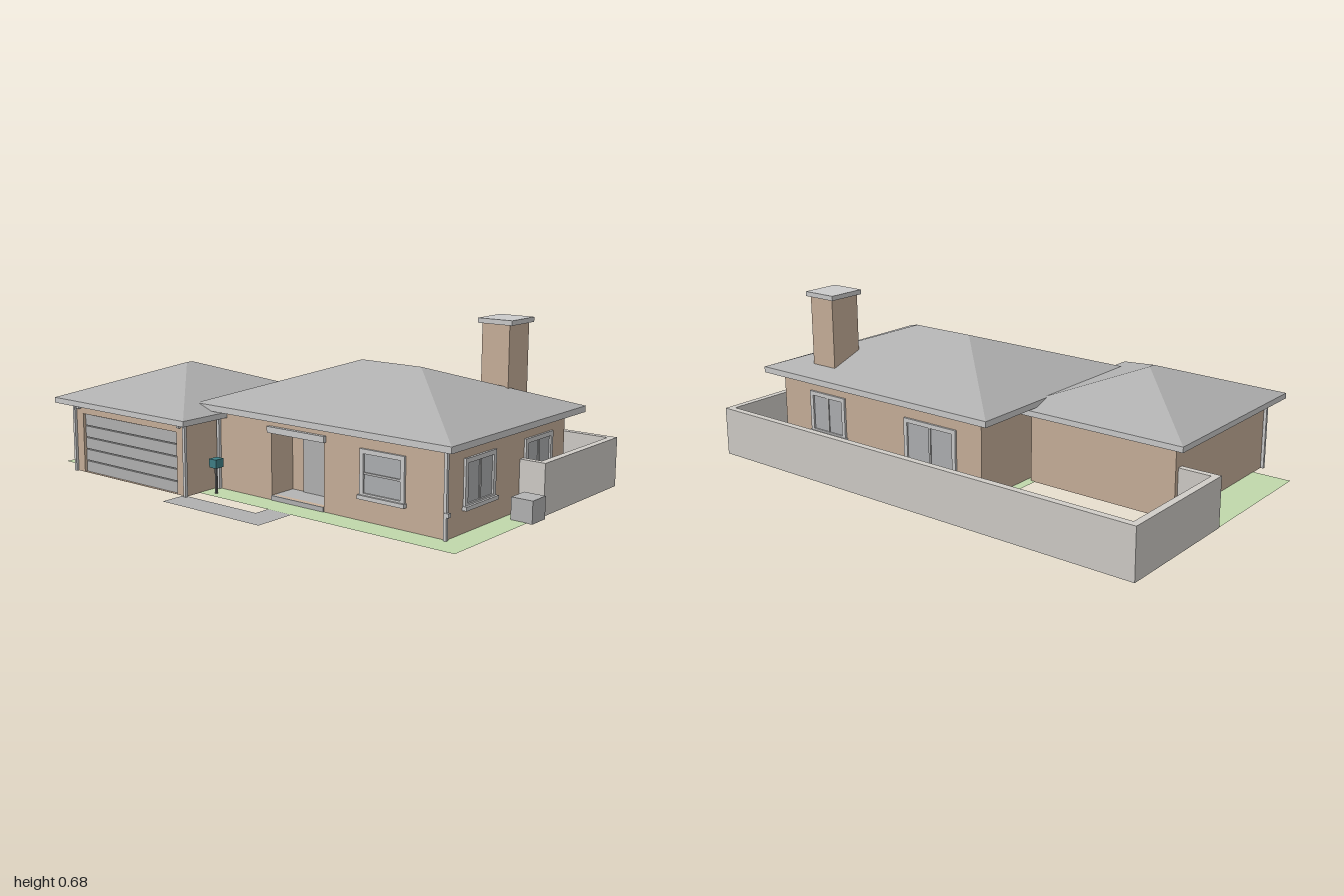
import * as THREE from 'three';

const mat = (color, opts = {}) => new THREE.MeshStandardMaterial({ color, ...opts });
const DS = { side: THREE.DoubleSide };
const brick = mat(0xc8b09a, DS);
const roofGrey = mat(0xb0b0b0, { side: THREE.DoubleSide, flatShading: true });
const trim = mat(0xdcdcd8);
const stone = mat(0xd0cdc8);
const grey = mat(0xb3b3b3);
const glass = mat(0xaeb0b2);
const grass = mat(0xc0d8ab, DS);
const paving = mat(0xb0b0b0, DS);
const teal = mat(0x3f7f86);

// Box given by its limits on each axis
function box(parent, name, m, x0, x1, y0, y1, z0, z1) {
  const mesh = new THREE.Mesh(new THREE.BoxGeometry(x1 - x0, y1 - y0, z1 - z0), m);
  mesh.position.set((x0 + x1) / 2, (y0 + y1) / 2, (z0 + z1) / 2);
  mesh.name = name;
  parent.add(mesh);
  return mesh;
}

// Rectangle path, for wall outlines and openings
function rect(Type, x0, x1, y0, y1) {
  return new Type([[x0, y0], [x1, y0], [x1, y1], [x0, y1]].map(p => new THREE.Vector2(...p)));
}

// Upright wall panel facing +z, with rectangular openings
function panel(parent, name, x0, x1, h, zFront, t, openings) {
  const s = rect(THREE.Shape, x0, x1, 0, h);
  s.holes = openings.map(o => rect(THREE.Path, ...o));
  const mesh = new THREE.Mesh(new THREE.ExtrudeGeometry(s, { depth: t, bevelEnabled: false }), brick);
  mesh.position.z = zFront - t;
  mesh.name = name;
  parent.add(mesh);
}

// Flat ground area from [x, z] corners
function flat(parent, name, m, pts, y) {
  const s = new THREE.Shape(pts.map(([x, z]) => new THREE.Vector2(x, -z)));
  const mesh = new THREE.Mesh(new THREE.ShapeGeometry(s).rotateX(-Math.PI / 2), m);
  mesh.position.y = y;
  mesh.name = name;
  parent.add(mesh);
}

// Hip roof over a rectangle of eaves, rising to a ridge, edged with a fascia
function hipRoof(parent, name, [x0, x1, z0, z1], [rx0, rx1, rz0, rz1], yEave, yRidge, yDrop) {
  const eave = [[x0, z1], [x1, z1], [x1, z0], [x0, z0]].map(([x, z]) => [x, yEave, z]);
  const ridge = [[rx0, rz1], [rx1, rz1], [rx1, rz0], [rx0, rz0]].map(([x, z]) => [x, yRidge, z]);
  const same = (a, b) => a[0] === b[0] && a[2] === b[2];
  const pos = [];
  for (let i = 0; i < 4; i++) {
    const j = (i + 1) % 4;
    pos.push(...eave[i], ...eave[j], ...ridge[j]);
    if (!same(ridge[i], ridge[j])) pos.push(...eave[i], ...ridge[j], ...ridge[i]);
  }
  const geo = new THREE.BufferGeometry();
  geo.setAttribute('position', new THREE.Float32BufferAttribute(pos, 3));
  geo.computeVertexNormals();
  const g = new THREE.Group();
  g.name = name;
  const slopes = new THREE.Mesh(geo, roofGrey);
  slopes.name = name + 'Slopes';
  g.add(slopes);
  const t = 0.012;
  box(g, 'fascia', trim, x0, x1, yDrop, yEave, z1 - t, z1);
  box(g, 'fascia', trim, x0, x1, yDrop, yEave, z0, z0 + t);
  box(g, 'fascia', trim, x0, x0 + t, yDrop, yEave, z0 + t, z1 - t);
  box(g, 'fascia', trim, x1 - t, x1, yDrop, yEave, z0 + t, z1 - t);
  parent.add(g);
}

// Framed window facing +z, centred on its own x; split 'v' or 'h'
function makeWindow(parent, name, w, y0, y1, split, x, z, turn, sill = true) {
  const g = new THREE.Group();
  g.name = name;
  const a = w / 2, f = 0.017, yc = (y0 + y1) / 2;
  box(g, 'glass', glass, -a + f, a - f, y0 + f, y1 - f, -0.006, 0.002);
  for (const s of [-1, 1]) {
    const m = s * (a - f / 2);
    box(g, 'frameSide', trim, m - f / 2, m + f / 2, y0, y1, -0.005, 0.009);
  }
  box(g, 'frameTop', trim, -a, a, y1 - f, y1, -0.005, 0.009);
  box(g, 'frameBottom', trim, -a, a, y0, y0 + f, -0.005, 0.009);
  if (sill) box(g, 'sill', trim, -a - 0.005, a + 0.005, y0 - 0.005, y0 + 0.01, -0.005, 0.018);
  if (split === 'v') box(g, 'mullion', grey, -0.005, 0.005, y0 + f, y1 - f, 0, 0.006);
  else box(g, 'mullion', grey, -a + f, a - f, yc - 0.004, yc + 0.004, 0, 0.006);
  g.position.set(x, 0, z);
  g.rotation.y = turn;
  parent.add(g);
}

export function createModel() {
  const model = new THREE.Group();
  model.name = 'house';

  // Ground: lawn wrapped around the garage, and the front path
  flat(model, 'lawn', grass, [[-1, 0.475], [-1, -0.65], [0.98, -0.65], [0.98, 0.475],
    [-0.22, 0.475], [-0.22, -0.43], [-0.82, -0.43], [-0.82, 0.475]], 0.002);
  flat(model, 'path', paving, [[-0.22, 0.535], [0.155, 0.535], [0.155, 0.37], [0.27, 0.37],
    [0.27, 0.645], [-0.22, 0.645]], 0);

  // Garden wall
  const garden = new THREE.Group();
  garden.name = 'gardenWall';
  model.add(garden);
  const H = 0.197, T = 0.028;
  box(garden, 'backWall', stone, -1, 0.98, 0, H, -0.655, -0.655 + T);
  box(garden, 'rightWall', stone, -1, -1 + T, 0, H, -0.655 + T, -0.097);
  box(garden, 'leftWall', stone, 0.98 - T, 0.98, 0, H, -0.655 + T, -0.097);
  box(garden, 'rightReturn', stone, -1 + T, -0.84, 0, H, -0.122, -0.097);
  box(garden, 'leftReturn', stone, 0.875, 0.98 - T, 0, H, -0.122, -0.097);

  // Main house walls, with the porch opening in front
  const main = new THREE.Group();
  main.name = 'mainHouse';
  model.add(main);
  const h = 0.36, t = 0.02;
  panel(main, 'frontWall', -0.18, 0.875, h, 0.37, t, [[0.085, 0.34, 0.02, 0.268]]);
  box(main, 'backWall', brick, -0.18, 0.875, 0, h, -0.42, -0.42 + t);
  box(main, 'leftWall', brick, 0.875 - t, 0.875, 0, h, -0.42 + t, 0.37 - t);
  box(main, 'rightWall', brick, -0.18, -0.18 + t, 0, h, -0.42 + t, 0.37 - t);
  hipRoof(main, 'mainRoof', [-0.25, 0.93, -0.48, 0.43], [0.2, 0.48, -0.03, -0.03], 0.343, 0.502, 0.319);

  // Recessed porch and front door
  const porch = new THREE.Group();
  porch.name = 'porch';
  main.add(porch);
  box(porch, 'porchFloor', grey, 0.085, 0.34, 0, 0.02, 0.25, 0.374);
  box(porch, 'porchBack', brick, 0.075, 0.35, 0, 0.28, 0.24, 0.25);
  box(porch, 'porchSide', brick, 0.075, 0.085, 0, 0.28, 0.25, 0.35);
  box(porch, 'porchSide', brick, 0.34, 0.35, 0, 0.28, 0.25, 0.35);
  box(porch, 'porchCeiling', brick, 0.085, 0.34, 0.268, 0.28, 0.25, 0.35);
  box(porch, 'frontDoor', grey, 0.145, 0.275, 0.02, 0.24, 0.25, 0.258);
  box(porch, 'doorHandle', trim, 0.258, 0.266, 0.115, 0.13, 0.258, 0.268);
  box(porch, 'porchLight', trim, 0.298, 0.31, 0.2, 0.23, 0.25, 0.262);
  box(porch, 'lintel', trim, 0.075, 0.35, 0.263, 0.287, 0.36, 0.385);

  // Windows and the back sliding door
  makeWindow(main, 'frontWindow', 0.195, 0.09, 0.267, 'h', 0.607, 0.37, 0);
  makeWindow(main, 'sideWindow', 0.195, 0.09, 0.267, 'v', 0.875, 0.173, Math.PI / 2);
  makeWindow(main, 'sideWindow', 0.195, 0.09, 0.267, 'v', 0.875, -0.223, Math.PI / 2);
  makeWindow(main, 'backWindow', 0.195, 0.09, 0.267, 'v', 0.62, -0.42, Math.PI);
  makeWindow(main, 'backSlidingDoor', 0.26, 0.005, 0.255, 'v', 0.07, -0.42, Math.PI, false);

  // Chimney
  box(main, 'chimney', brick, 0.602, 0.722, 0.3, 0.66, -0.395, -0.255);
  box(main, 'chimneyCap', trim, 0.587, 0.737, 0.656, 0.675, -0.407, -0.246);

  // Garage
  const garage = new THREE.Group();
  garage.name = 'garage';
  model.add(garage);
  const gh = 0.326;
  panel(garage, 'garageFront', -0.84, -0.2, gh, 0.54, t, [[-0.8, -0.25, 0.001, 0.245]]);
  box(garage, 'garageBack', brick, -0.84, -0.2, 0, gh, -0.14, -0.14 + t);
  box(garage, 'garageRight', brick, -0.84, -0.84 + t, 0, gh, -0.14 + t, 0.54 - t);
  box(garage, 'garageLeft', brick, -0.2 - t, -0.2, 0, gh, -0.14 + t, 0.54 - t);
  hipRoof(garage, 'garageRoof', [-0.9, -0.145, -0.2, 0.603], [-0.523, -0.523, 0.185, 0.215], 0.31, 0.447, 0.288);
  for (let i = 0; i < 5; i++) {
    box(garage, 'doorPanel', grey, -0.8, -0.25, i * 0.049, i * 0.049 + 0.045, 0.515, 0.528);
  }
  box(garage, 'doorBacking', grey, -0.8, -0.25, 0, 0.245, 0.51, 0.52);
  for (const x of [-0.82, -0.23]) box(garage, 'garageLight', trim, x - 0.008, x + 0.008, 0.265, 0.285, 0.54, 0.553);

  // Downpipes
  for (const [x, z, y] of [[-0.846, 0.545, 0.3], [-0.2, 0.545, 0.3], [-0.185, 0.376, 0.33], [0.876, 0.376, 0.33]]) {
    box(model, 'downpipe', trim, x - 0.006, x + 0.006, 0, y, z - 0.006, z + 0.006);
  }

  // Outdoor unit and tap beside the house
  box(model, 'outdoorUnit', grey, 0.912, 1, 0, 0.086, -0.072, 0.018);
  box(model, 'tap', trim, 0.875, 0.892, 0.085, 0.1, 0.37, 0.385);

  // Mailbox on a post
  box(model, 'mailboxPost', mat(0x666666), -0.146, -0.138, 0, 0.108, 0.433, 0.441);
  box(model, 'mailbox', teal, -0.16, -0.124, 0.105, 0.139, 0.414, 0.456);

  return model;
}
